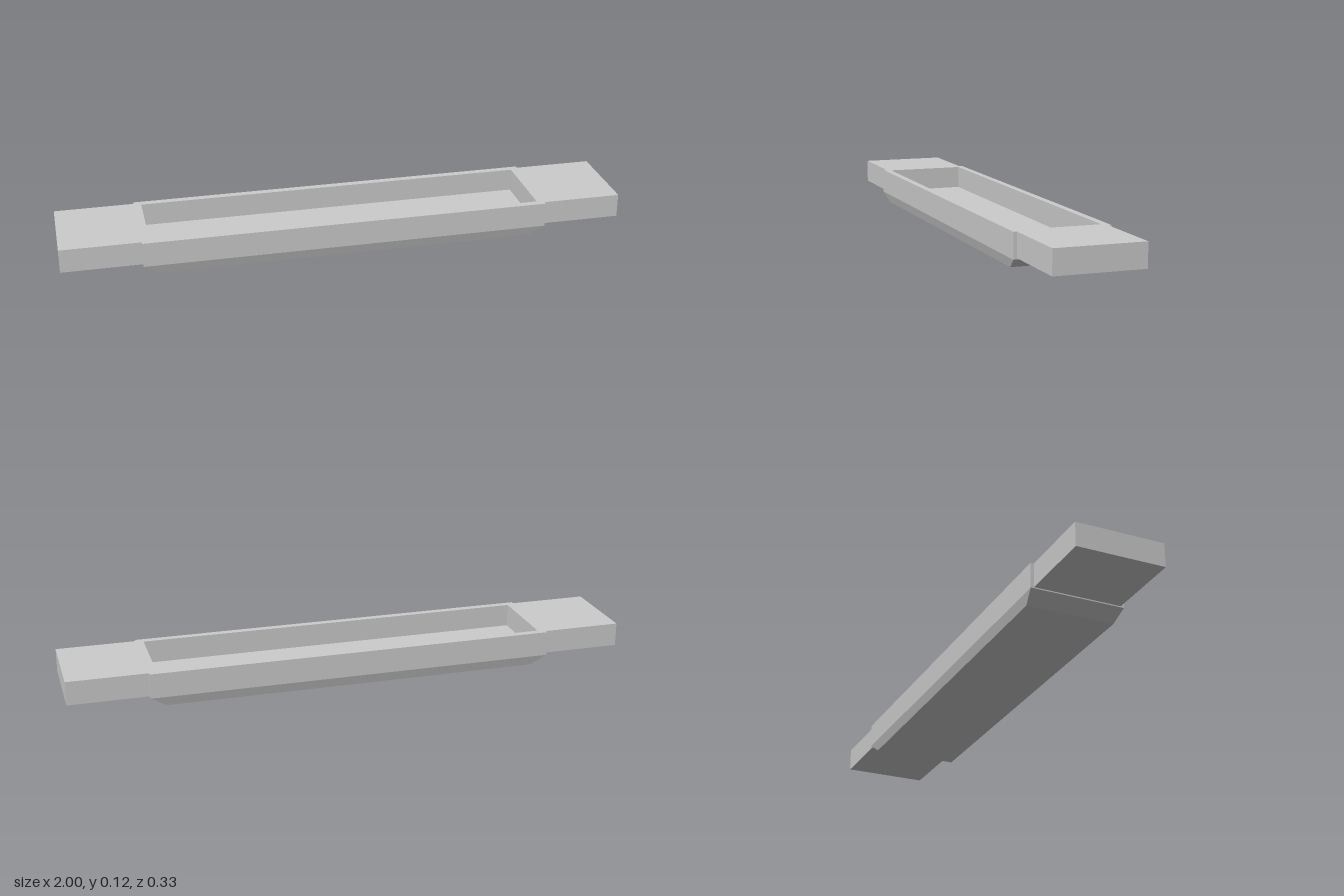
import * as THREE from 'three';

const material = new THREE.MeshStandardMaterial({ color: 0xcccccc, flatShading: true });

// Lofts rectangular rings [halfX, halfZ, y] and caps both ends.
function loftRectangles(rings) {
  const positions = [];
  const corner = ([x, z, y], j) => [[x, y, z], [x, y, -z], [-x, y, -z], [-x, y, z]][j % 4];
  const quad = (a, b, c, d) => positions.push(...a, ...b, ...c, ...a, ...c, ...d);
  const first = rings[0];
  const last = rings[rings.length - 1];
  quad(...[3, 2, 1, 0].map((j) => corner(first, j)));
  for (let i = 0; i < rings.length - 1; i++) {
    for (let j = 0; j < 4; j++) {
      quad(corner(rings[i], j), corner(rings[i], j + 1), corner(rings[i + 1], j + 1), corner(rings[i + 1], j));
    }
  }
  quad(...[0, 1, 2, 3].map((j) => corner(last, j)));
  const geometry = new THREE.BufferGeometry();
  geometry.setAttribute('position', new THREE.Float32BufferAttribute(positions, 3));
  geometry.computeVertexNormals();
  return geometry;
}

export function createModel() {
  const model = new THREE.Group();
  model.name = 'recessedTray';

  // Tray body: chamfered base, upright sides, rim, then down into the recess
  const tray = new THREE.Mesh(loftRectangles([
    [0.665, 0.156, 0],
    [0.72, 0.167, 0.035],
    [0.72, 0.167, 0.123],
    [0.693, 0.142, 0.123],
    [0.693, 0.142, 0.041],
  ]), material);
  tray.name = 'trayBody';
  model.add(tray);

  // Flat end tabs, flush with the rim
  for (const [side, name] of [[1, 'leftEndTab'], [-1, 'rightEndTab']]) {
    const tab = new THREE.Mesh(new THREE.BoxGeometry(0.28, 0.084, 0.31), material);
    tab.name = name;
    tab.position.set(side * 0.86, 0.081, 0);
    model.add(tab);
  }

  return model;
}
